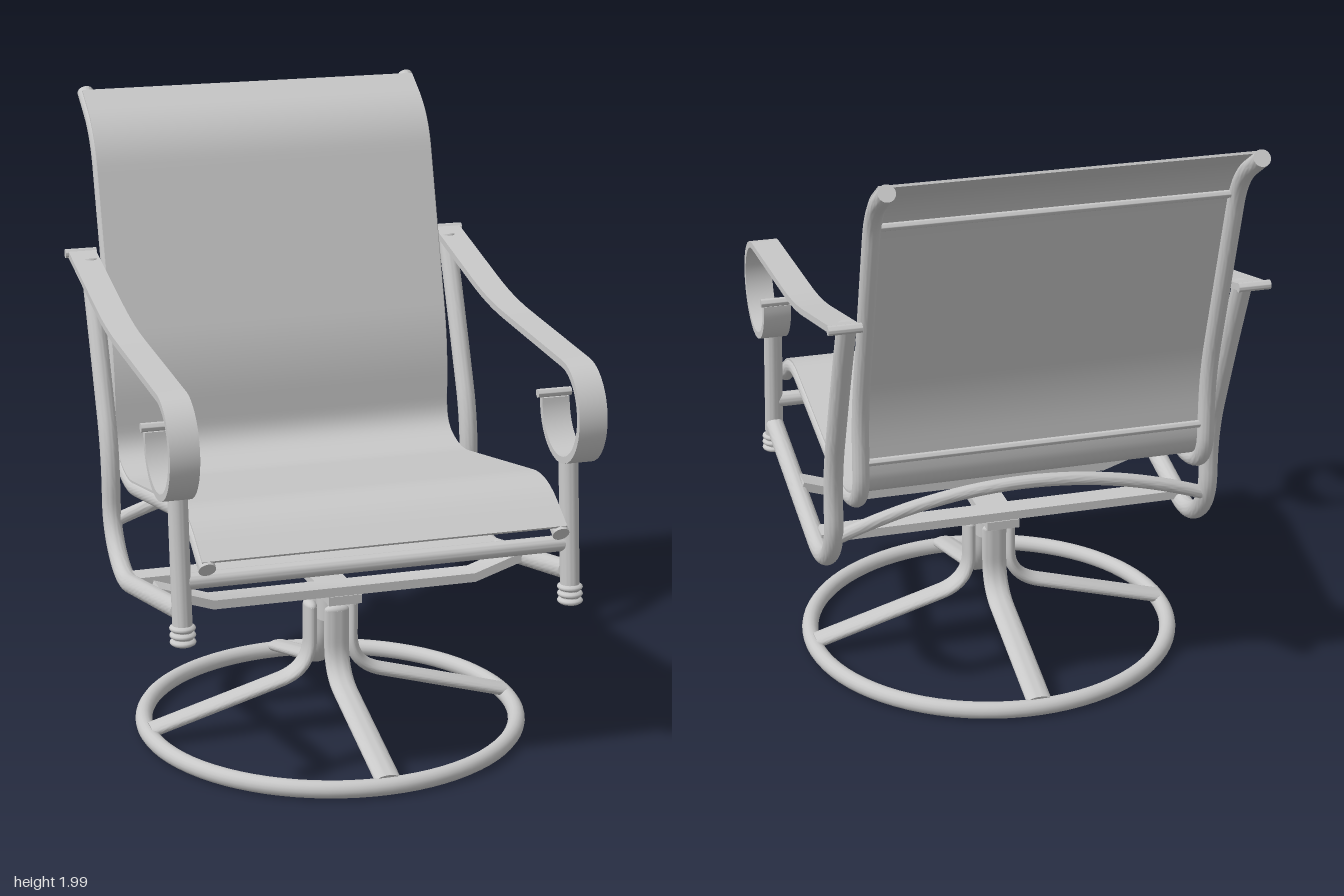
import * as THREE from 'three';
import { toCreasedNormals } from 'three/addons/utils/BufferGeometryUtils.js';

const V = (x, y, z) => new THREE.Vector3(x, y, z);

// Polyline whose corners are rounded; each point may carry its own radius.
function roundedPath(points, radius) {
  const path = new THREE.CurvePath();
  let from = points[0];
  for (let i = 1; i < points.length - 1; i++) {
    const p = points[i], before = points[i - 1], after = points[i + 1];
    const r = Math.min(radius, p.distanceTo(before) * 0.49, p.distanceTo(after) * 0.49);
    const a = p.clone().add(before.clone().sub(p).setLength(r));
    const b = p.clone().add(after.clone().sub(p).setLength(r));
    path.add(new THREE.LineCurve3(from, a));
    path.add(new THREE.QuadraticBezierCurve3(a, p, b));
    from = b;
  }
  path.add(new THREE.LineCurve3(from, points[points.length - 1]));
  return path;
}

// Closed tube with an elliptical section.
function tube(path, rx, ry = rx, steps = 50) {
  const section = new THREE.Shape();
  section.absellipse(0, 0, rx, ry, 0, Math.PI * 2);
  const geo = new THREE.ExtrudeGeometry(section, { steps, curveSegments: 16, extrudePath: path });
  return toCreasedNormals(geo, 0.7);
}

// Flat strap following a 2D line, offset sideways, with its width along z.
function strap(points, thickness, width, offset = 0) {
  const side = (d) => points.map((p, i) => {
    const a = points[Math.max(i - 1, 0)], b = points[Math.min(i + 1, points.length - 1)];
    const t = b.clone().sub(a).normalize();
    return new THREE.Vector2(p.x + t.y * d, p.y - t.x * d);
  });
  const outline = [...side(offset + thickness / 2), ...side(offset - thickness / 2).reverse()];
  const geo = new THREE.ExtrudeGeometry(new THREE.Shape(outline), { depth: width, bevelEnabled: false });
  geo.translate(0, 0, -width / 2);
  return toCreasedNormals(geo, 0.6);
}

// Turns a (z, y) profile extrusion so that its width runs along x.
const acrossX = (geo, x = 0) => geo.rotateY(-Math.PI / 2).translate(x, 0, 0);

export function createModel() {
  const group = new THREE.Group();
  const grey = new THREE.MeshStandardMaterial({ color: 0xc8c8c8 });
  grey.name = 'light grey';
  const add = (name, geo, parent = group) => {
    const mesh = new THREE.Mesh(geo, grey);
    mesh.name = name;
    parent.add(mesh);
    return mesh;
  };
  const rod = (name, a, b, r) => add(name, tube(new THREE.LineCurve3(a, b), r, r, 1));
  const baseZ = 0.165;

  // Swivel base: floor ring, four swept legs and a hub
  add('baseRing', new THREE.TorusGeometry(0.616, 0.028, 16, 80)
    .rotateX(Math.PI / 2).translate(0, 0.029, baseZ));
  for (let i = 0; i < 4; i++) {
    const leg = new THREE.Group();
    leg.name = 'baseLeg';
    leg.position.z = baseZ;
    leg.rotation.y = i * Math.PI / 2;
    group.add(leg);
    add('legTube', tube(roundedPath([V(0.07, 0.42, 0), V(0.07, 0.2, 0), V(0.61, 0.045, 0)], 0.14),
      0.042, 0.021), leg);
    const tip = add('legTip', new THREE.SphereGeometry(1, 16, 10), leg);
    tip.position.set(0.07, 0.42, 0);
    tip.scale.set(0.021, 0.018, 0.042);
  }
  add('hub', new THREE.CylinderGeometry(0.046, 0.046, 0.11, 24).translate(0, 0.425, baseZ));
  add('swivelPlate', new THREE.BoxGeometry(0.11, 0.03, 0.35).translate(0, 0.485, 0.155));

  // Straps joining the two side frames over the swivel
  const P = (x, y) => new THREE.Vector2(x, y);
  add('frontStrap', strap([P(-0.62, 0.58), P(-0.44, 0.52), P(0.44, 0.52), P(0.62, 0.58)], 0.03, 0.08)
    .translate(0, 0, 0.3));
  add('rearStrap', new THREE.BoxGeometry(1.24, 0.03, 0.08).translate(0, 0.517, 0.02));

  // Cross bars between the side frames
  rod('frontCrossBar', V(-0.62, 0.73, 0.665), V(0.62, 0.73, 0.665), 0.026);
  add('rearArchedBar', tube(new THREE.QuadraticBezierCurve3(
    V(-0.62, 0.63, -0.25), V(0, 0.87, -0.26), V(0.62, 0.63, -0.25)), 0.022));

  // Rail line shared by the fabric and its two supports
  const railPoints = (x) => [
    V(x, 0.79, 0.75), V(x, 0.905, 0.57), V(x, 0.755, -0.22), V(x, 0.82, -0.39),
    V(x, 1.12, -0.395), V(x, 1.86, -0.62), V(x, 1.973, -0.797)];
  const railPath = (x) => roundedPath(railPoints(x), 0.12);
  const middle = railPath(0), fabricLine = [];
  for (let i = 0; i <= 90; i++) {
    const p = middle.getPointAt(0.004 + 0.988 * i / 90);
    fabricLine.push(P(p.z, p.y));
  }
  add('slingFabric', acrossX(strap(fabricLine, 0.008, 1.17, 0.024)));
  rod('lowerSpreader', V(-0.56, 0.95, -0.395), V(0.56, 0.95, -0.395), 0.012);
  rod('upperSpreader', V(-0.56, 1.8, -0.605), V(0.56, 1.8, -0.605), 0.012);

  // Arm strap line ending in a front scroll
  const armLine = roundedPath([V(0, 1.475, -0.565), V(0, 1.345, -0.02), V(0, 1.31, 0.635)], 0.15)
    .getSpacedPoints(24).map((p) => P(p.z, p.y));
  for (let i = 1; i <= 40; i++) {
    const a = Math.PI / 2 - i / 40 * Math.PI * 1.5;
    armLine.push(P(0.635 + 0.155 * Math.cos(a), 1.155 + 0.155 * Math.sin(a)));
  }

  for (const s of [-1, 1]) {
    const side = s > 0 ? 'left' : 'right', x = s * 0.63;
    add(side + 'SlingRail', tube(railPath(s * 0.568), 0.027, 0.027, 90));

    // Outer frame sweeping from the front post under the seat and up the back
    add(side + 'OuterFrame', tube(roundedPath([
      V(x, 0.637, 0.66), V(x, 0.475, -0.09), V(x, 0.6, -0.26),
      V(x, 0.86, -0.26), V(x, 1.22, -0.405), V(x, 1.46, -0.51)], 0.16), 0.031, 0.031, 80));

    // Front post with a ringed foot
    rod(side + 'FrontPost', V(x, 1.0, 0.642), V(x, 0.55, 0.685), 0.031);
    for (let i = 0; i < 3; i++) {
      const ring = add(side + 'FootRing', new THREE.SphereGeometry(1, 24, 10));
      ring.position.set(x, 0.545 + i * 0.022, 0.686 - i * 0.002);
      ring.scale.set(0.041, 0.015, 0.041);
    }

    // Armrest and the round bars at its ends
    add(side + 'Armrest', acrossX(strap(armLine, 0.022, 0.092), s * 0.645));
    rod(side + 'ArmBackBar', V(s * 0.595, 1.475, -0.565), V(s * 0.7, 1.475, -0.565), 0.015);
    rod(side + 'ScrollBar', V(s * 0.588, 1.168, 0.475), V(s * 0.7, 1.168, 0.475), 0.014);
  }
  return group;
}
